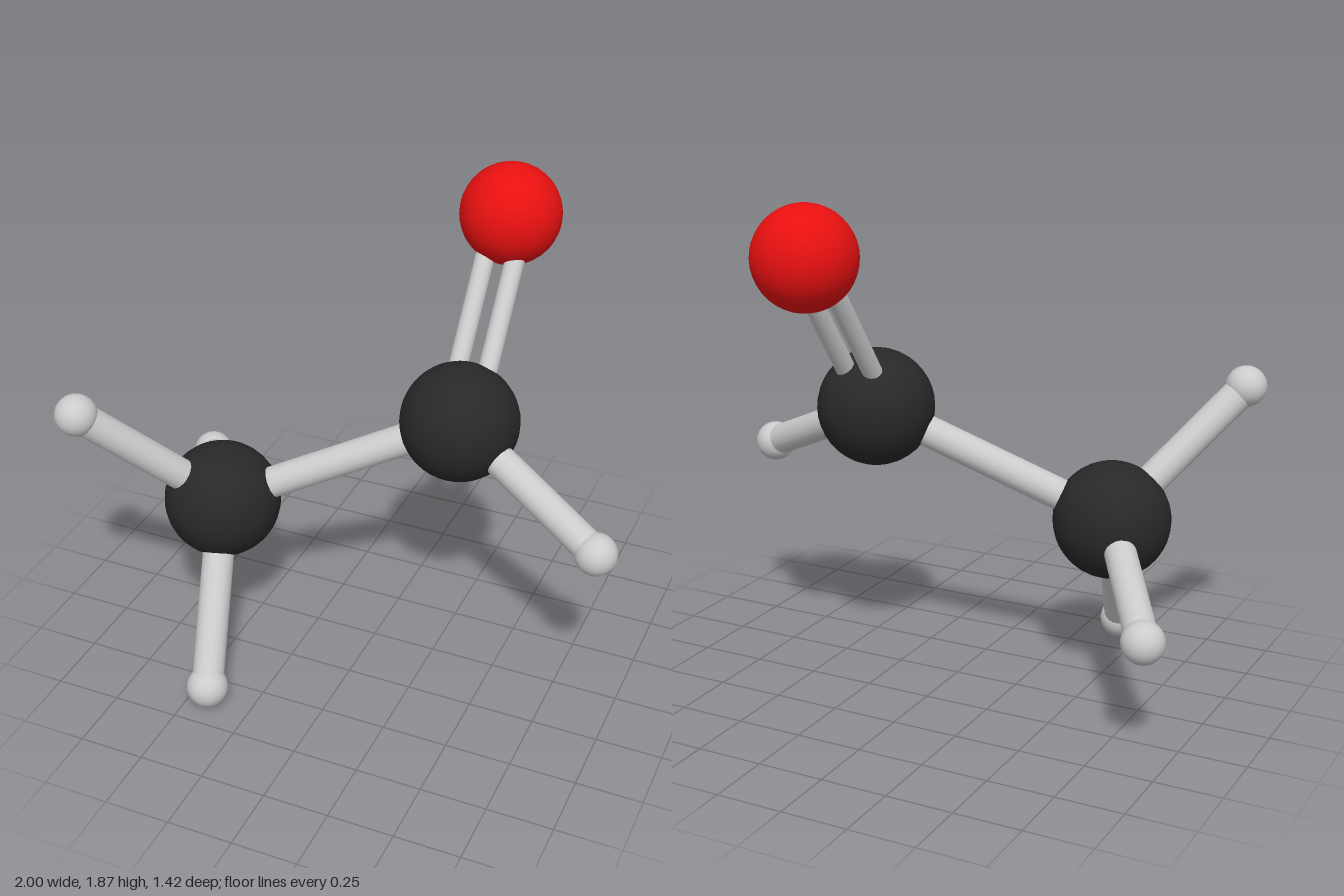
import * as THREE from 'three';

const grey = new THREE.MeshStandardMaterial({ color: 0xcccccc });
const black = new THREE.MeshStandardMaterial({ color: 0x282828 });
const red = new THREE.MeshStandardMaterial({ color: 0xe81010 });

// Atom kinds: radius and material
const kinds = {
  carbon: [0.222, black],
  oxygen: [0.19, red],
  hydrogen: [0.078, grey],
};

// Atom positions
const atoms = {
  aldehydeCarbon: ['carbon', 0.314, 1.045, -0.057],
  methylCarbon: ['carbon', -0.54, 0.647, 0.213],
  oxygen: ['oxygen', 0.319, 1.68, -0.523],
  aldehydeHydrogen: ['hydrogen', 0.92, 0.771, 0.168],
  methylHydrogenTop: ['hydrogen', -0.922, 1.125, 0.57],
  methylHydrogenBack: ['hydrogen', -0.898, 0.437, -0.365],
  methylHydrogenBottom: ['hydrogen', -0.417, 0.08, 0.633],
};

// Bonds: the two atoms, radius, sideways shift
const bonds = [
  ['aldehydeCarbon', 'methylCarbon', 0.06, 0],
  ['aldehydeCarbon', 'aldehydeHydrogen', 0.06, 0],
  ['methylCarbon', 'methylHydrogenTop', 0.06, 0],
  ['methylCarbon', 'methylHydrogenBack', 0.06, 0],
  ['methylCarbon', 'methylHydrogenBottom', 0.06, 0],
  ['aldehydeCarbon', 'oxygen', 0.037, -0.057],
  ['aldehydeCarbon', 'oxygen', 0.037, 0.057],
];

const position = (name) => new THREE.Vector3(...atoms[name].slice(1));

// Cylinder running from one atom centre to the other
function createBond([from, to, radius, shift]) {
  const a = position(from), b = position(to);
  const along = b.clone().sub(a);
  const geometry = new THREE.CylinderGeometry(radius, radius, along.length(), 20);
  const bond = new THREE.Mesh(geometry, grey);
  bond.position.copy(a).add(b).multiplyScalar(0.5);
  bond.position.x += shift;
  bond.quaternion.setFromUnitVectors(new THREE.Vector3(0, 1, 0), along.normalize());
  bond.name = `bond ${from} to ${to}`;
  return bond;
}

export function createModel() {
  const model = new THREE.Group();
  model.name = 'molecule';
  for (const [name, [kind]] of Object.entries(atoms)) {
    const [radius, material] = kinds[kind];
    const atom = new THREE.Mesh(new THREE.SphereGeometry(radius, 32, 20), material);
    atom.position.copy(position(name));
    atom.name = name;
    model.add(atom);
  }
  for (const bond of bonds) model.add(createBond(bond));
  return model;
}
